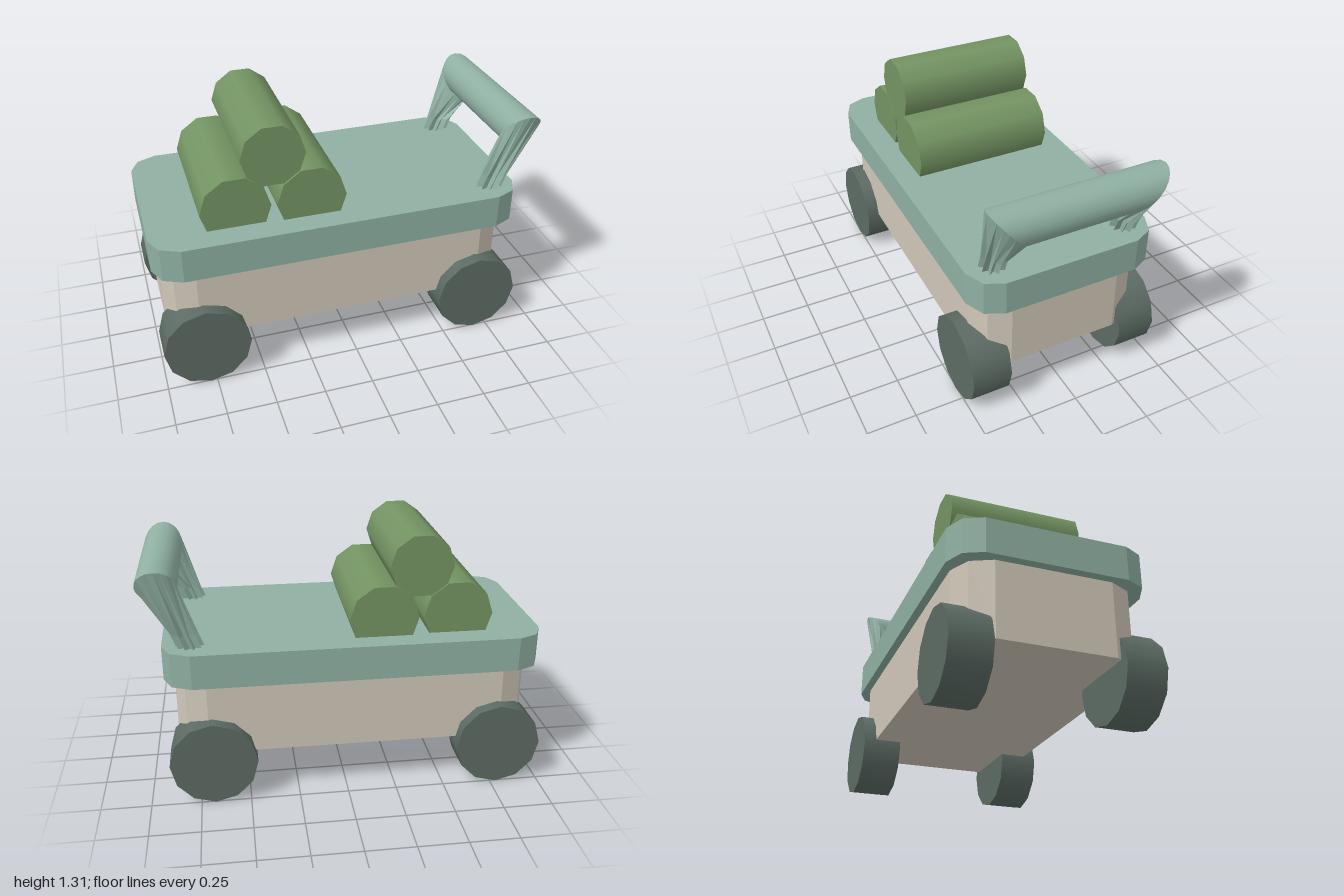
import * as THREE from 'three';

const paint = (name, color) => {
  const m = new THREE.MeshStandardMaterial({ color });
  m.name = name;
  return m;
};

// Slab with two-facet corners: x from x0 to x1, half width w, corner points c = [inset, drop] steps
function slab(x0, x1, w, corner, y0, y1) {
  const [nearEnd, mid, nearSide] = corner; // [inset along x, inset along z]
  const pts = [];
  const add = (end, dir, side, list) =>
    list.forEach(([ix, iz]) => pts.push(new THREE.Vector2(end - dir * ix, side * (w - iz))));
  add(x1, 1, -1, [nearSide, mid, nearEnd]);
  add(x1, 1, 1, [nearEnd, mid, nearSide]);
  add(x0, -1, 1, [nearSide, mid, nearEnd]);
  add(x0, -1, -1, [nearEnd, mid, nearSide]);
  const geo = new THREE.ExtrudeGeometry(new THREE.Shape(pts), { depth: y1 - y0, bevelEnabled: false });
  return geo.rotateX(-Math.PI / 2).translate(0, y0, 0);
}

// Faceted cylinder lying along z
function roll(radius, length, sides) {
  return new THREE.CylinderGeometry(radius, radius, length, sides)
    .rotateY(Math.PI / 2)
    .rotateX(Math.PI / 2);
}

// Skin between successive closed rings of points
function loft(rings, flat) {
  const n = rings[0].length;
  const index = [];
  for (let r = 0; r < rings.length - 1; r++) {
    for (let i = 0; i < n; i++) {
      const a = r * n + i, b = r * n + ((i + 1) % n);
      index.push(a, a + n, b, b, a + n, b + n);
    }
  }
  let geo = new THREE.BufferGeometry();
  geo.setAttribute('position', new THREE.Float32BufferAttribute(rings.flat(2), 3));
  geo.setIndex(index);
  if (flat) geo = geo.toNonIndexed();
  geo.computeVertexNormals();
  return geo;
}

export function createModel() {
  const group = new THREE.Group();
  const sage = paint('sage green', 0x8fb0a2);
  const beige = paint('warm beige', 0xd0c7b8);
  const leaf = paint('leaf green', 0x749463);
  const slate = paint('dark slate', 0x5c6b64);

  const add = (name, geo, mat, x = 0, y = 0, z = 0) => {
    const mesh = new THREE.Mesh(geo, mat);
    mesh.name = name;
    mesh.position.set(x, y, z);
    group.add(mesh);
  };

  // Cart body and overhanging deck
  add('body', slab(-0.955, 0.85, 0.44, [[0, 0.155], [0.05, 0.05], [0.155, 0]], 0.25, 0.64), beige);
  add('deck', slab(-1, 0.9, 0.48, [[0, 0.135], [0.043, 0.043], [0.14, 0]], 0.627, 0.803), sage);

  // Four wheels, partly sunk into the body
  for (const x of [-0.78, 0.677]) {
    for (const side of [1, -1]) {
      add('wheel', roll(0.219, 0.2, 12), slate, x, 0.221, side * 0.405);
    }
  }

  // Stack of three logs
  add('lowerLog', roll(0.175, 0.7, 10), leaf, -0.572, 0.895, 0);
  add('lowerLog', roll(0.175, 0.725, 10), leaf, -0.195, 0.895, -0.002);
  add('upperLog', roll(0.16, 0.7, 10), leaf, -0.38, 1.155, 0);

  // Push handle: a mitred grip on two fluted legs that narrow towards the deck
  const sides = 20;
  const ring = (fn) => Array.from({ length: sides }, (_, i) => {
    const a = (i / sides) * Math.PI * 2;
    return fn(Math.cos(a), Math.sin(a), i % 2 ? 0.62 : 1);
  });
  const mitre = (s) => ring((c, n) => [0.9 + 0.1 * c, 1.11 + 0.1 * n, s * (0.356 + 0.086 * n)]);
  const flutes = (s, x, y, rx, rz) =>
    ring((c, n, k) => [x + rx * k * c, y, s * (0.348 + rz * k * n)]);
  const foot = (s) => flutes(s, 0.745, 0.76, 0.07, 0.063);
  const ankle = (s) => flutes(s, 0.785, 0.87, 0.068, 0.063);
  add('handleGrip', loft([mitre(1), mitre(-1)], false), sage);
  add('handleLeg', loft([foot(1), ankle(1), mitre(1)], true), sage);
  add('handleLeg', loft([mitre(-1), ankle(-1), foot(-1)], true), sage);

  return group;
}
